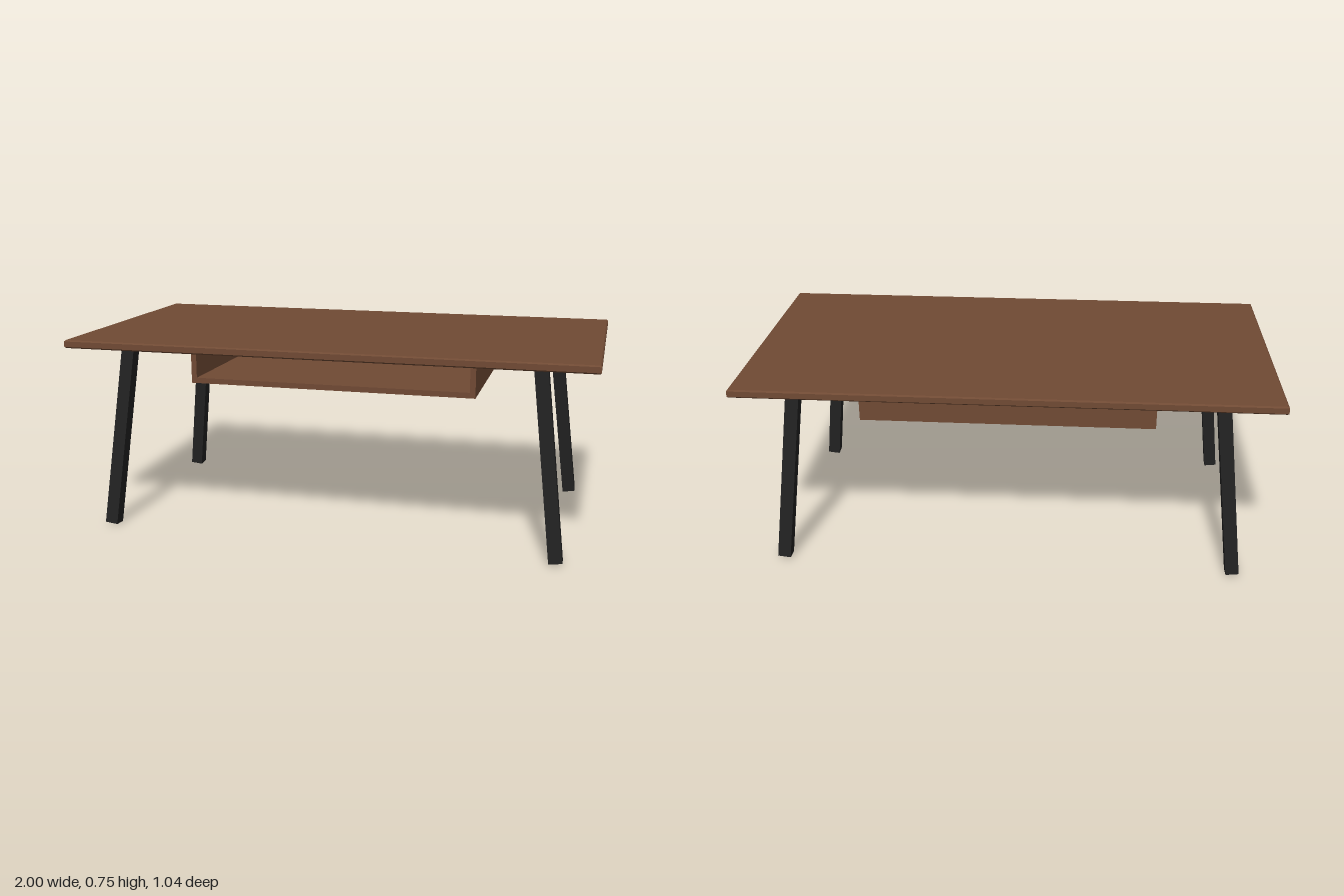
import * as THREE from 'three';

export function createModel() {
  const group = new THREE.Group();
  const wood = new THREE.MeshStandardMaterial({ color: 0x704a34 });
  wood.name = 'brown wood';
  const black = new THREE.MeshStandardMaterial({ color: 0x222222 });
  black.name = 'black leg';

  const add = (name, geometry, material, x, y, z) => {
    const mesh = new THREE.Mesh(geometry, material);
    mesh.name = name;
    mesh.position.set(x, y, z);
    group.add(mesh);
    return mesh;
  };
  const box = (name, w, h, d, x, y, z) =>
    add(name, new THREE.BoxGeometry(w, h, d), wood, x, y, z);

  // Table top: a slab with a fine chamfer all round
  const bevel = 0.005, hx = 1 - bevel, hz = 0.522 - bevel;
  const outline = new THREE.Shape([
    new THREE.Vector2(-hx, -hz), new THREE.Vector2(hx, -hz),
    new THREE.Vector2(hx, hz), new THREE.Vector2(-hx, hz),
  ]);
  const slab = new THREE.ExtrudeGeometry(outline, {
    depth: 0.021, bevelSize: bevel, bevelThickness: bevel, bevelSegments: 1,
  });
  slab.rotateX(-Math.PI / 2);
  add('tableTop', slab, wood, 0, 0.722 + bevel, 0);

  // Storage tray under the top, open at the front
  const t = 0.021, w = 1.11, bottom = 0.575, top = 0.722, front = 0.35, back = -0.37;
  const h = top - bottom, d = front - back, midZ = (front + back) / 2;
  box('trayFloor', w, t, d, 0, bottom + t / 2, midZ);
  for (const s of [-1, 1]) {
    box(s > 0 ? 'trayLeftWall' : 'trayRightWall', t, h - t, d,
      s * (w - t) / 2, (top + bottom + t) / 2, midZ);
  }
  box('trayBackWall', w - 2 * t, h - t, t, 0, (top + bottom + t) / 2, back + t / 2);

  // Four square legs splayed outwards
  const legGeometry = new THREE.BoxGeometry(0.05, 0.737, 0.05);
  for (const sx of [-1, 1]) {
    for (const sz of [-1, 1]) {
      const name = (sz > 0 ? 'front' : 'back') + (sx > 0 ? 'Left' : 'Right') + 'Leg';
      const leg = add(name, legGeometry, black, sx * 0.832, 0.37, sz * 0.412);
      leg.rotation.set(-sz * 0.077, 0, sx * 0.119);
    }
  }
  return group;
}
